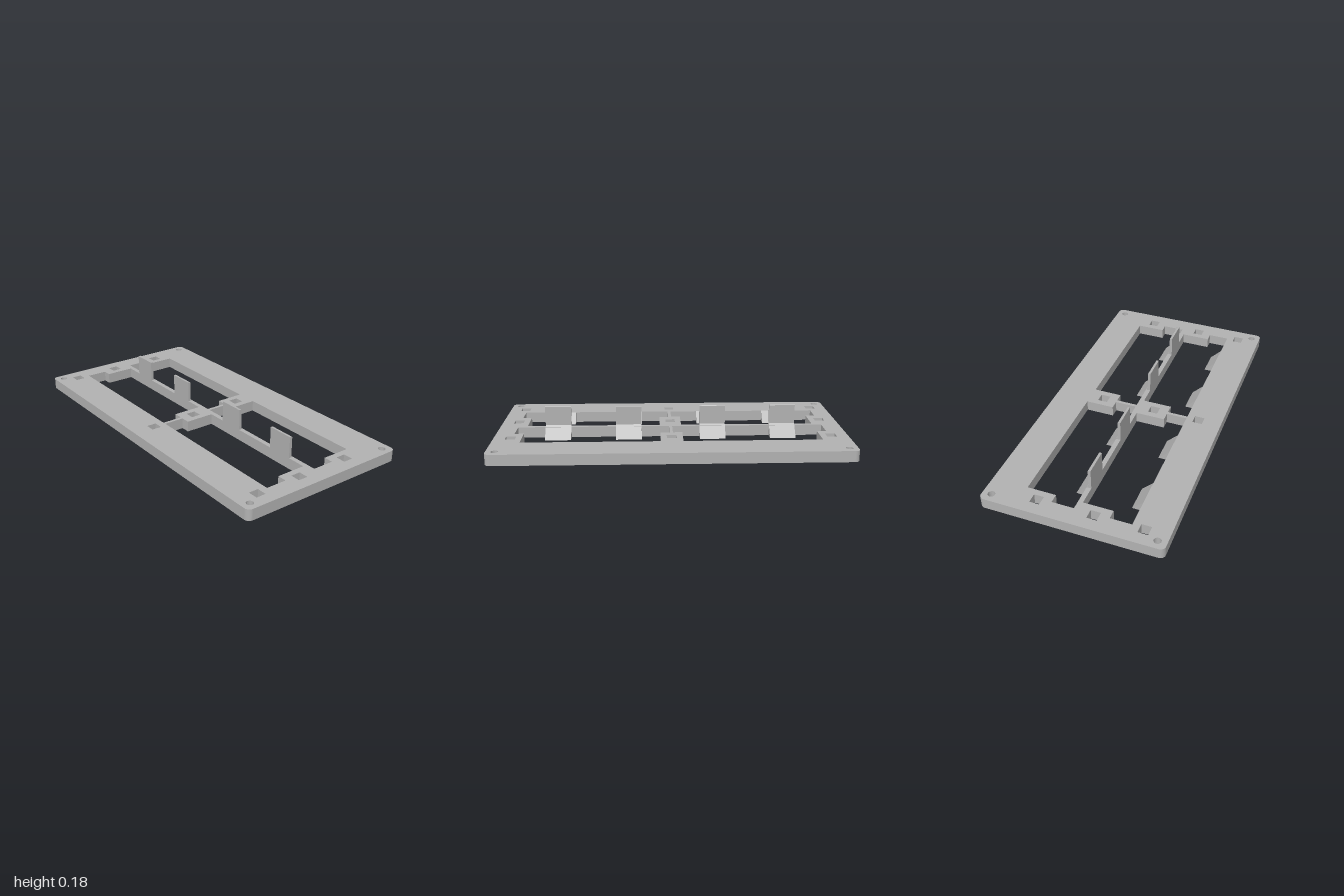
import * as THREE from 'three';

const H = 0.0625;    // plate thickness
const HX = 1, HZ = 0.506, R = 0.03;

// Closed path from [x, z] points, drawn with z flipped so the plate can be laid flat
function pathOf(points) {
  const path = new THREE.Path();
  points.forEach(([x, z], i) => (i ? path.lineTo(x, -z) : path.moveTo(x, -z)));
  path.closePath();
  return path;
}

// Rounded outer outline of the plate
function outline() {
  const s = new THREE.Shape();
  s.moveTo(-HX + R, -HZ);
  s.lineTo(HX - R, -HZ);
  s.absarc(HX - R, -HZ + R, R, -Math.PI / 2, 0);
  s.lineTo(HX, HZ - R);
  s.absarc(HX - R, HZ - R, R, 0, Math.PI / 2);
  s.lineTo(-HX + R, HZ);
  s.absarc(-HX + R, HZ - R, R, Math.PI / 2, Math.PI);
  s.lineTo(-HX, -HZ + R);
  s.absarc(-HX + R, -HZ + R, R, Math.PI, Math.PI * 1.5);
  return s;
}

// Stepped window: narrow toward the back, wider toward the front
function windowHole(side, back, step, front) {
  return pathOf([
    [0.063, back], [0.842, back], [0.842, step], [0.895, step],
    [0.895, front], [0.009, front], [0.009, step], [0.063, step],
  ].map(([x, z]) => [side * x, z]));
}

function squareHole(x, z, h = 0.028) {
  return pathOf([[x - h, z - h], [x + h, z - h], [x + h, z + h], [x - h, z + h]]);
}

function roundHole(x, z) {
  const p = new THREE.Path();
  p.absarc(x, -z, 0.02, 0, Math.PI * 2, true);
  return p;
}

// Side profile of [z, y] points swept along x and centred
function sweep(profile, width) {
  const shape = new THREE.Shape(profile.map(([z, y]) => new THREE.Vector2(z, y)));
  const geo = new THREE.ExtrudeGeometry(shape, { depth: width, bevelEnabled: false });
  geo.translate(0, 0, -width / 2);
  geo.rotateY(-Math.PI / 2);
  return geo;
}

export function createModel() {
  const group = new THREE.Group();
  group.name = 'mountingFrame';
  const grey = new THREE.MeshStandardMaterial({ color: 0xb2b2b2 });
  grey.name = 'grey plastic';

  const add = (name, geo, x = 0) => {
    const mesh = new THREE.Mesh(geo, grey);
    mesh.name = name;
    mesh.position.x = x;
    group.add(mesh);
  };

  // Plate with windows, square sockets and corner screw holes
  const plate = outline();
  for (const side of [-1, 1]) {
    plate.holes.push(windowHole(side, -0.302, -0.139, -0.014));
    plate.holes.push(windowHole(side, 0.013, 0.182, 0.302));
    for (const z of [-0.455, 0.455]) plate.holes.push(roundHole(side * 0.951, z));
  }
  for (const x of [-0.905, 0, 0.905]) {
    for (const z of [-0.219, 0.099, 0.372]) plate.holes.push(squareHole(x, z));
  }
  const plateGeo = new THREE.ExtrudeGeometry(plate, { depth: H, bevelEnabled: false, curveSegments: 10 });
  plateGeo.rotateX(-Math.PI / 2);
  add('framePlate', plateGeo);

  // Upright tabs with a sloped foot on the middle bar
  const tabGeo = sweep([
    [-0.075, 0], [-0.014, 0], [-0.014, H], [0.013, H], [0.013, 0.184],
    [0, 0.184], [-0.003, 0.181], [-0.003, 0.072],
  ], 0.151);
  // Sloped ramps on the front rail
  const rampGeo = sweep([[0.239, 0], [0.302, 0], [0.302, H]], 0.151);

  for (const x of [-0.659, -0.246, 0.246, 0.659]) {
    add('uprightTab', tabGeo, x);
    add('frontRamp', rampGeo, x);
  }
  return group;
}
